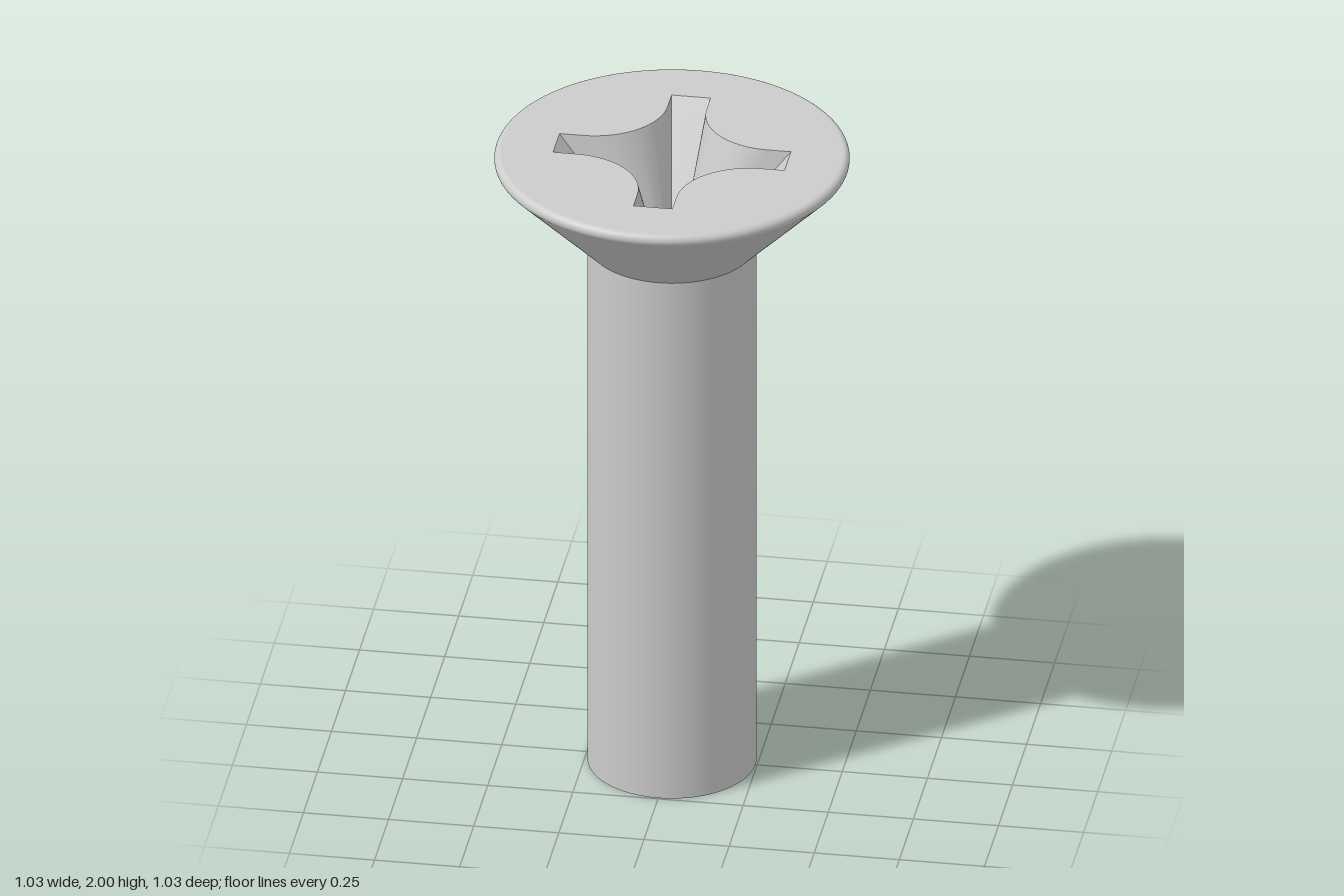
import * as THREE from 'three';
import { toCreasedNormals } from 'three/addons/utils/BufferGeometryUtils.js';

const SHAFT_R = 0.245, NECK_Y = 1.70, TOP_Y = 2, DEPTH = 0.31;
const RIM_R = 0.495, RIM_ROUND = 0.02, ARC_STEPS = 16;
const lerp = THREE.MathUtils.lerp;

// Cross-shaped outline of the drive recess as (x, z) points; t = 0 at the top, 1 at the floor
function recessOutline(t) {
  const w = lerp(0.057, 0.018, t), end = lerp(0.34, 0.098, t);
  const tip = end + 0.01 * Math.max(0, (t - 0.84) / 0.16);
  const c = lerp(0.27, 0.098, t), r = c - w;
  const quarter = [[-w, end], [0, tip], [w, end]];
  for (let i = 0; i <= ARC_STEPS; i++) {
    const a = (i / ARC_STEPS) * Math.PI / 2;
    quarter.push([c - r * Math.cos(a), c - r * Math.sin(a)]);
  }
  const points = [];
  for (let k = 0; k < 4; k++) {
    const a = k * Math.PI / 2, cos = Math.cos(a), sin = Math.sin(a);
    for (const [x, z] of quarter) {
      points.push(new THREE.Vector2(x * cos + z * sin, z * cos - x * sin));
    }
  }
  return points;
}

// Inward-facing walls joining successive outlines
function recessWalls(levels) {
  const rings = levels.map(recessOutline), n = rings[0].length;
  const positions = [], index = [];
  rings.forEach((ring, j) => ring.forEach(p => positions.push(p.x, TOP_Y - DEPTH * levels[j], p.y)));
  for (let j = 0; j < rings.length - 1; j++) {
    for (let i = 0; i < n; i++) {
      const a = j * n + i, b = j * n + (i + 1) % n;
      index.push(a, b, b + n, a, b + n, a + n);
    }
  }
  const geometry = new THREE.BufferGeometry();
  geometry.setAttribute('position', new THREE.Float32BufferAttribute(positions, 3));
  geometry.setIndex(index);
  return toCreasedNormals(geometry, 0.35);
}

// Horizontal face looking up at height y
function flatFace(shape, y) {
  return new THREE.ShapeGeometry(shape, 96).rotateX(-Math.PI / 2).translate(0, y, 0);
}

export function createModel() {
  const group = new THREE.Group();
  const material = new THREE.MeshStandardMaterial({ color: 0xcccccc });
  const add = (name, geometry) => {
    const mesh = new THREE.Mesh(geometry, material);
    mesh.name = name;
    group.add(mesh);
  };

  // Plain cylindrical shaft with a flat end
  add('shaft', new THREE.CylinderGeometry(SHAFT_R, SHAFT_R, NECK_Y, 96, 1, true).translate(0, NECK_Y / 2, 0));
  add('shaftEnd', new THREE.CircleGeometry(SHAFT_R, 96).rotateX(Math.PI / 2));

  // Countersunk cone, then the rounded rim
  const rim = [];
  for (let i = 0; i <= 12; i++) {
    const a = lerp(-Math.PI / 4, Math.PI / 2, i / 12);
    rim.push(new THREE.Vector2(RIM_R + RIM_ROUND * Math.cos(a), TOP_Y - RIM_ROUND + RIM_ROUND * Math.sin(a)));
  }
  add('headCone', new THREE.LatheGeometry([new THREE.Vector2(SHAFT_R, NECK_Y), rim[0]], 192));
  add('headRim', new THREE.LatheGeometry(rim, 192));

  // Flat head top, cut by the recess
  const top = new THREE.Shape().absarc(0, 0, RIM_R, 0, Math.PI * 2, false);
  top.holes.push(new THREE.Path(recessOutline(0)));
  add('headTop', flatFace(top, TOP_Y));

  // Tapered cross recess and its floor
  add('recessWalls', recessWalls([0, 0.84, 1]));
  add('recessFloor', flatFace(new THREE.Shape(recessOutline(1)), TOP_Y - DEPTH));

  return group;
}
